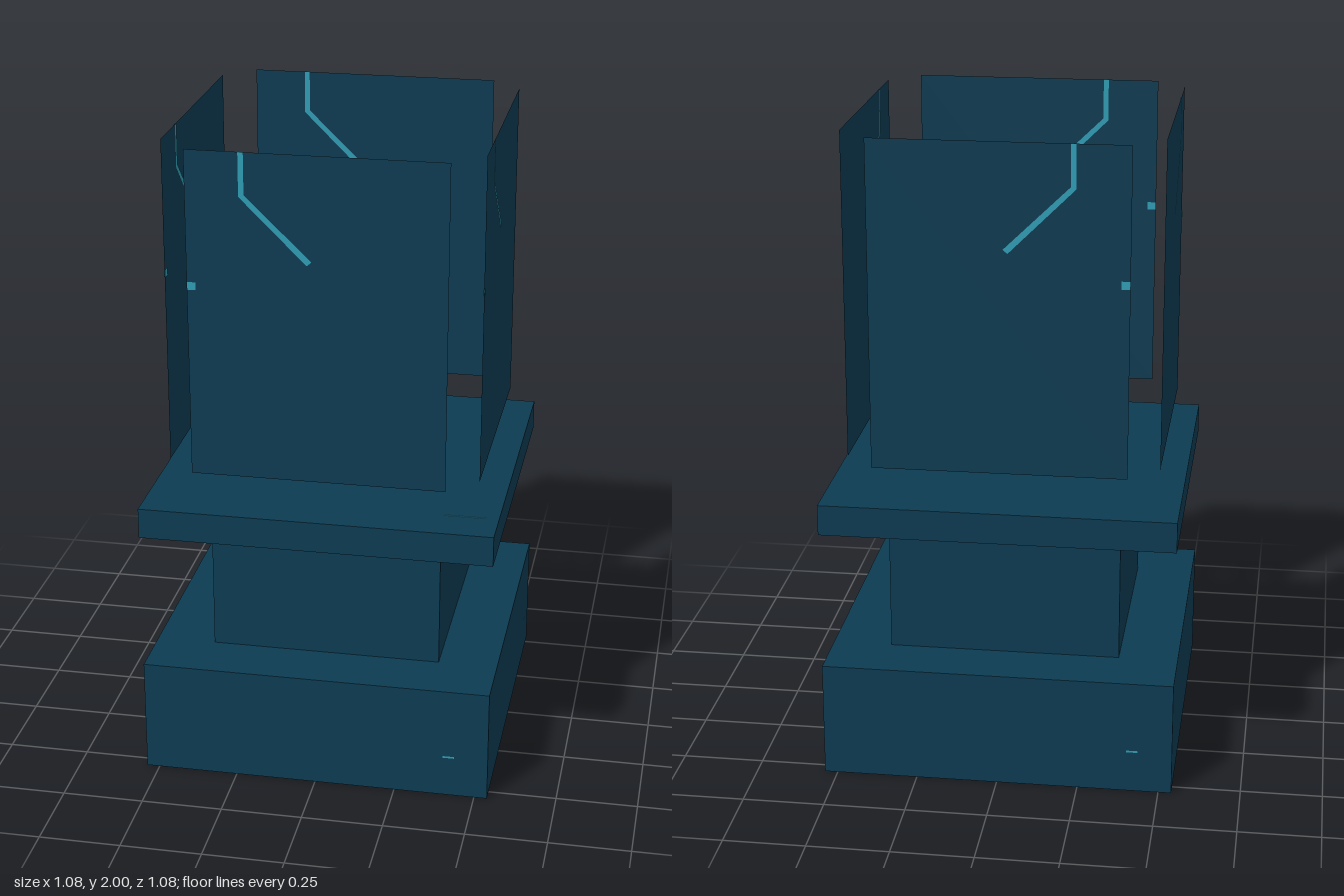
import * as THREE from 'three';

export function createModel() {
  const model = new THREE.Group();
  const stone = new THREE.MeshStandardMaterial({ color: 0x0d3b52, side: THREE.DoubleSide });
  stone.name = 'dark teal';
  const glow = new THREE.MeshStandardMaterial({ color: 0x309db4, side: THREE.DoubleSide });
  glow.name = 'bright cyan';

  const add = (parent, name, geometry, material, x = 0, y = 0, z = 0) => {
    const mesh = new THREE.Mesh(geometry, material);
    mesh.name = name;
    mesh.position.set(x, y, z);
    parent.add(mesh);
    return mesh;
  };

  // Solid pedestal: name, width, bottom, top
  for (const [name, width, bottom, top] of [
    ['base', 1.08, 0, 0.36],
    ['neck', 0.715, 0.36, 0.795],
    ['topSlab', 1.08, 0.795, 0.89],
  ]) {
    add(model, name, new THREE.BoxGeometry(width, top - bottom, width), stone, 0, (bottom + top) / 2, 0);
  }

  // Bent inlay line and edge dot, in the plane of a panel
  const line = new THREE.Shape([
    [-0.226, 2], [-0.226, 1.868], [-0.028, 1.672], [-0.014, 1.684], [-0.21, 1.874], [-0.21, 2],
  ].map(([x, y]) => new THREE.Vector2(x, y)));
  const lineGeometry = new THREE.ShapeGeometry(line);
  const dotGeometry = new THREE.PlaneGeometry(0.026, 0.024);
  const panelGeometry = new THREE.PlaneGeometry(0.77, 1.005);

  // Four thin floating panels: opposite panels share the same layout
  const reach = 0.475;
  for (const [side, angle, offset] of [
    ['front', 0, reach], ['back', 0, -reach],
    ['left', Math.PI / 2, reach], ['right', Math.PI / 2, -reach],
  ]) {
    const panel = new THREE.Group();
    panel.name = side + 'Panel';
    panel.rotation.y = angle;
    // The side panels run towards the front, so their inlays sit near +z
    add(panel, side + 'Sheet', panelGeometry, stone, 0, 1.4975, offset);
    for (const gap of [-0.002, 0.002]) {
      add(panel, side + 'InlayLine', lineGeometry, glow, 0, 0, offset + gap);
      add(panel, side + 'InlayDot', dotGeometry, glow, -0.371, 1.59, offset + gap);
    }
    model.add(panel);
  }

  // Small scratches on the base sides
  for (let i = 0; i < 4; i++) {
    const face = new THREE.Group();
    face.name = 'baseInlay';
    face.rotation.y = (i * Math.PI) / 2;
    add(face, 'baseScratch', new THREE.PlaneGeometry(0.035, 0.006), glow, 0.418, 0.134, 0.542);
    model.add(face);
  }

  // Paired hairlines on the slab top
  for (const z of [0.411, 0.42]) {
    const hairline = add(model, 'slabHairline', new THREE.PlaneGeometry(0.13, 0.003), glow, 0.438, 0.892, z);
    hairline.rotation.x = -Math.PI / 2;
  }

  return model;
}
